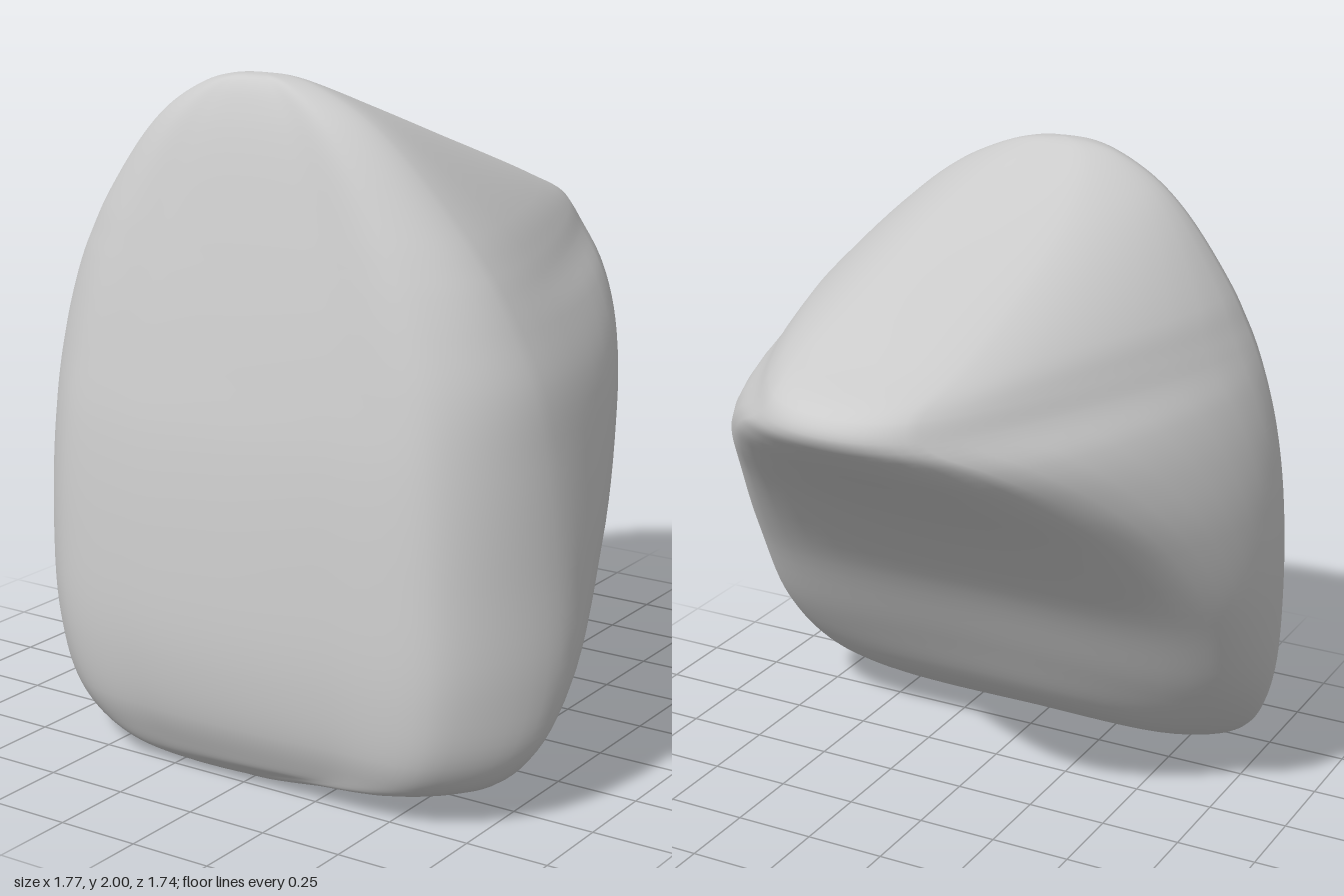
import * as THREE from 'three';
import { mergeVertices } from 'three/addons/utils/BufferGeometryUtils.js';

// Horizontal sections, bottom to top: [y, xMin, xMax, zFront, zBack, back corner width ratio]
const SECTIONS = [
  [0.00, -0.08, -0.08, 0.68, 0.68, 1],
  [0.015, -0.34, 0.12, 0.73, 0.63, 0.75],
  [0.05, -0.54, 0.38, 0.77, 0.55, 0.78],
  [0.10, -0.68, 0.72, 0.80, 0.46, 0.80],
  [0.20, -0.78, 0.83, 0.84, 0.34, 0.82],
  [0.40, -0.86, 0.88, 0.865, 0.18, 0.86],
  [0.70, -0.885, 0.865, 0.85, -0.03, 0.88],
  [1.00, -0.87, 0.83, 0.815, -0.32, 0.81],
  [1.20, -0.835, 0.79, 0.775, -0.57, 0.70],
  [1.35, -0.79, 0.725, 0.742, -0.77, 0.55],
  [1.45, -0.75, 0.67, 0.718, -0.865, 0.38],
  [1.51, -0.72, 0.63, 0.703, -0.84, 0.36],
  [1.60, -0.67, 0.56, 0.68, -0.62, 0.44],
  [1.80, -0.52, 0.37, 0.625, -0.05, 0.54],
  [1.90, -0.41, 0.24, 0.59, 0.22, 0.57],
  [1.97, -0.28, 0.09, 0.555, 0.39, 0.62],
  [1.993, -0.19, 0.00, 0.53, 0.45, 0.70],
  [2.00, -0.10, -0.10, 0.485, 0.485, 1],
];
const RINGS = 102;
const SIDES = 80;

// Control points around one section, starting at the front centre
function sectionPoints([y, x0, x1, zf, zb, k]) {
  const mid = (x0 + x1) / 2;
  const half = (x1 - x0) / 2;
  // Depth of the widest point: further forward near the foot and the crown
  const widest = 0.42 + 0.25 * Math.max(0, 1 - y / 0.6) ** 2 + 0.06 * Math.max(0, y - 1);
  const zw = THREE.MathUtils.clamp(widest, zb, zf);
  const front = zf - zw;
  const back = zw - zb;
  // Shallow hollow in the underside, between the two lower ridges
  const hollow = 0.04 * Math.max(0, 1 - ((y - 0.75) / 0.55) ** 2);
  const right = [[0, zf], [0.4, zf - 0.07 * front], [0.78, zf - 0.2 * front], [1, zw],
    [k, zb + 0.26 * k * back]];
  const left = [[0, zb + hollow], [-k, zb + 0.2 * k * back], [-1, zw],
    [-0.72, zf - 0.17 * front], [-0.38, zf - 0.01 * front]];
  return [...right, ...left].map(([u, z]) => new THREE.Vector3(mid + u * half, y, z));
}

// Skin lofted through the sections
function loftGeometry() {
  const sections = SECTIONS.map(sectionPoints);
  const rails = sections[0].map((_, c) =>
    new THREE.CatmullRomCurve3(sections.map((s) => s[c])).getPoints(RINGS));
  const positions = [];
  const index = [];
  for (let i = 0; i <= RINGS; i++) {
    const ring = new THREE.CatmullRomCurve3(rails.map((r) => r[i]), true);
    for (let j = 0; j < SIDES; j++) {
      const p = ring.getPoint(j / SIDES);
      positions.push(p.x, p.y, p.z);
      if (i === RINGS) continue;
      const a = i * SIDES + j;
      const b = i * SIDES + (j + 1) % SIDES;
      // The first and last rings are single points, so they need one triangle per side
      if (i > 0) index.push(a, b, b + SIDES);
      if (i < RINGS - 1) index.push(a, b + SIDES, a + SIDES);
    }
  }
  const geometry = new THREE.BufferGeometry();
  geometry.setAttribute('position', new THREE.Float32BufferAttribute(positions, 3));
  geometry.setIndex(index);
  const welded = mergeVertices(geometry, 1e-5);
  welded.computeVertexNormals();
  return welded;
}

export function createModel() {
  const group = new THREE.Group();
  group.name = 'stone';
  const body = new THREE.Mesh(loftGeometry(), new THREE.MeshStandardMaterial({ color: 0xcccccc }));
  body.name = 'stoneBody';
  group.add(body);
  return group;
}
